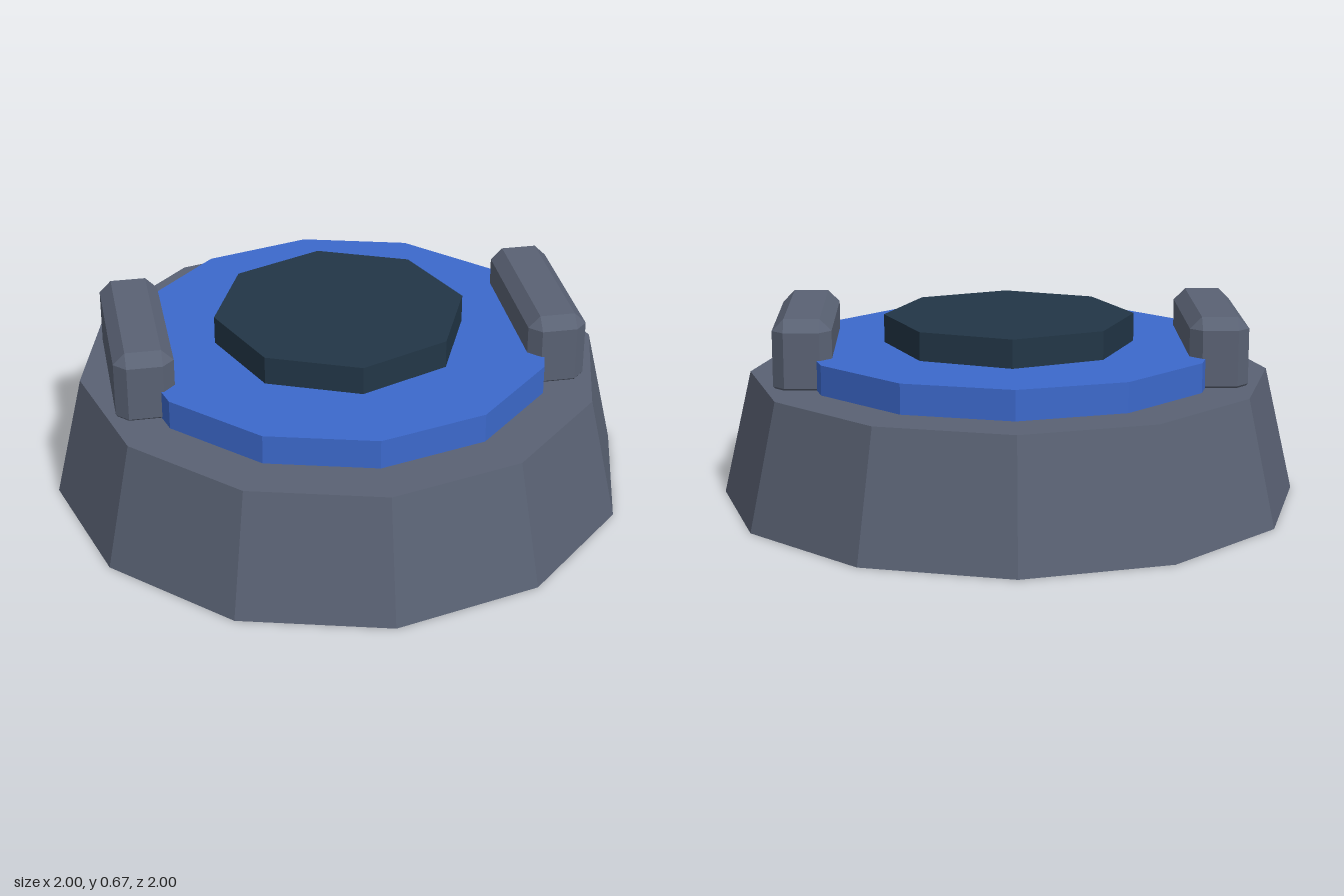
import * as THREE from 'three';
import { ConvexGeometry } from 'three/addons/geometries/ConvexGeometry.js';

function material(name, color) {
  const m = new THREE.MeshStandardMaterial({ color, flatShading: true });
  m.name = name;
  return m;
}

// Faceted disc standing between two heights
function disc(name, mat, rTop, rBottom, y0, y1, sides) {
  const mesh = new THREE.Mesh(new THREE.CylinderGeometry(rTop, rBottom, y1 - y0, sides), mat);
  mesh.position.y = (y0 + y1) / 2;
  mesh.name = name;
  return mesh;
}

// Box with every edge cut flat
function chamferedBox(w, h, d, c) {
  const points = [];
  for (const sx of [-1, 1]) for (const sy of [-1, 1]) for (const sz of [-1, 1]) {
    const x = w / 2, y = h / 2, z = d / 2;
    points.push(
      new THREE.Vector3(sx * x, sy * (y - c), sz * (z - c)),
      new THREE.Vector3(sx * (x - c), sy * y, sz * (z - c)),
      new THREE.Vector3(sx * (x - c), sy * (y - c), sz * z),
    );
  }
  return new ConvexGeometry(points);
}

export function createModel() {
  const group = new THREE.Group();
  group.name = 'pedestal';
  const grey = material('slate grey', 0x5a6274);
  const blue = material('blue', 0x3c69cc);
  const dark = material('dark navy', 0x223647);

  // Tapered base and the two stacked plates
  group.add(
    disc('base', grey, 0.9, 1, 0, 0.433, 12),
    disc('bluePlate', blue, 0.73, 0.73, 0.433, 0.535, 12),
    disc('centrePad', dark, 0.433, 0.433, 0.535, 0.633, 8),
  );

  // Side rails, sunk slightly into the base
  const railGeometry = chamferedBox(0.2, 0.27, 0.6, 0.04);
  for (const side of [-1, 1]) {
    const rail = new THREE.Mesh(railGeometry, grey);
    rail.position.set(side * 0.7, 0.535, 0);
    rail.name = side > 0 ? 'leftRail' : 'rightRail';
    group.add(rail);
  }
  return group;
}
